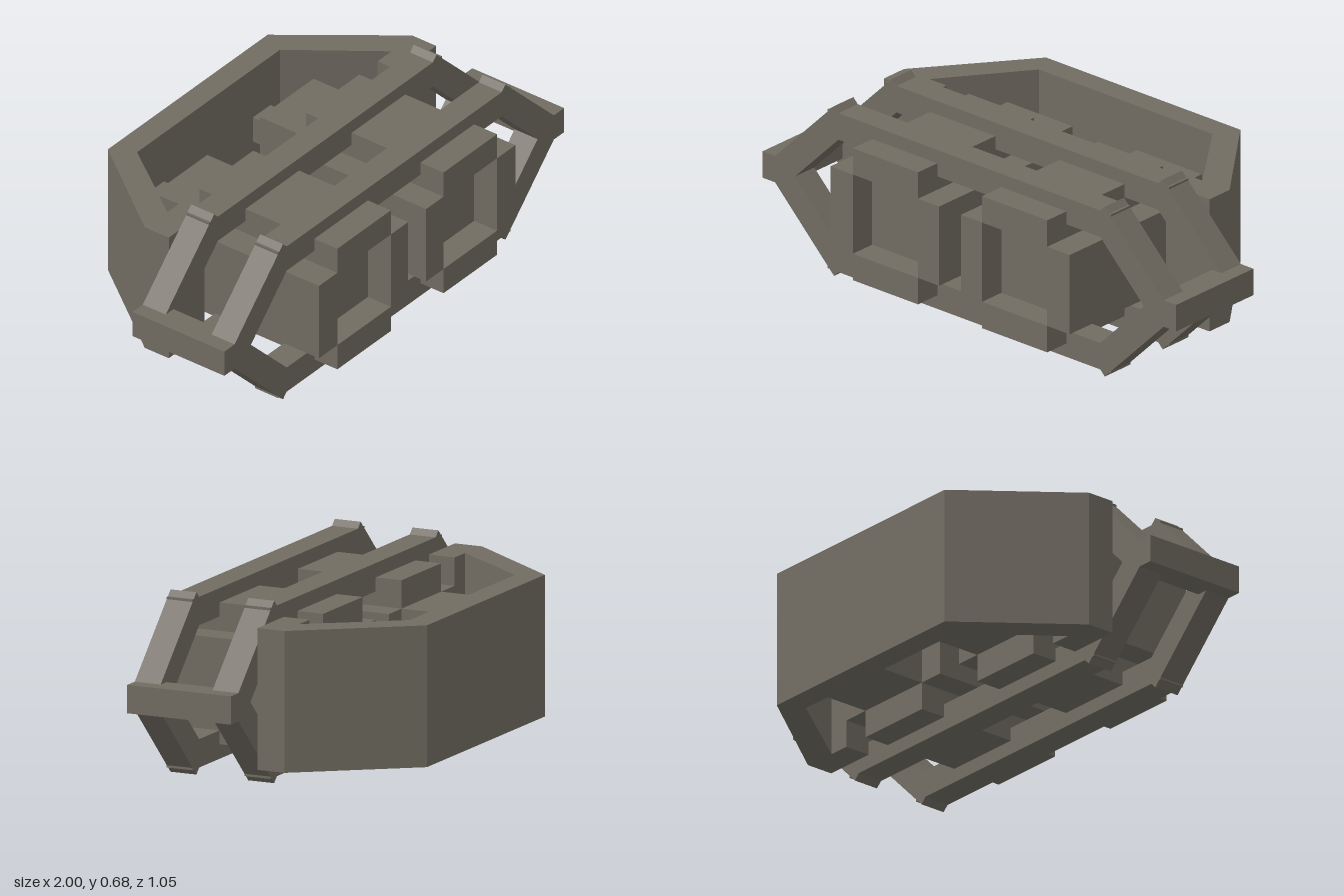
import * as THREE from 'three';

export function createModel() {
  const model = new THREE.Group();
  const metal = new THREE.MeshStandardMaterial({ color: 0x716c62 });
  metal.name = 'warm grey metal';
  const MID = 0.339; // height of the horizontal symmetry plane

  // Box given by its min and max corners
  function box(name, parent, [x0, x1], [y0, y1], [z0, z1]) {
    const mesh = new THREE.Mesh(new THREE.BoxGeometry(x1 - x0, y1 - y0, z1 - z0), metal);
    mesh.position.set((x0 + x1) / 2, (y0 + y1) / 2, (z0 + z1) / 2);
    mesh.name = name;
    parent.add(mesh);
    return mesh;
  }

  // Two hexagonal frames of straight and diagonal bars
  for (const [name, z] of [['rearFrame', 0], ['frontFrame', 0.315]]) {
    const frame = new THREE.Group();
    frame.name = name;
    const depth = [z, z + 0.105];
    box('topBar', frame, [-0.685, 0.685], [0.55, 0.655], depth);
    box('bottomBar', frame, [-0.685, 0.685], [0.023, 0.128], depth);
    for (const sx of [-1, 1]) for (const sy of [-1, 1]) {
      const bar = new THREE.Mesh(new THREE.BoxGeometry(0.42, 0.105, 0.105), metal);
      bar.name = 'diagonalBar';
      bar.position.set(sx * 0.766, MID + sy * 0.152, z + 0.0525);
      bar.rotation.z = -sx * sy * Math.PI / 4;
      frame.add(bar);
    }
    model.add(frame);
  }

  for (const s of [-1, 1]) {
    // End block joining the two frames
    const xs = (a, b) => (s > 0 ? [a, b] : [-b, -a]);
    box('endBlock', model, xs(0.895, 1), [MID - 0.0525, MID + 0.0525], [0, 0.42]);

    // Square piston core wrapped in four plates
    const piston = new THREE.Group();
    piston.name = s > 0 ? 'leftPiston' : 'rightPiston';
    const wrap = [-0.105, 0.525];
    box('core', piston, xs(0.155, 0.47), [0.182, 0.497], [-0.315, 0.42]);
    box('rod', piston, xs(0.262, 0.365), [MID - 0.0525, MID + 0.0525], [-0.43, -0.315]);
    box('innerPlate', piston, xs(0.053, 0.155), [0.182, 0.497], wrap);
    box('outerPlate', piston, xs(0.47, 0.578), [0.182, 0.497], wrap);
    box('topPlate', piston, xs(0.155, 0.47), [0.497, 0.602], wrap);
    box('bottomPlate', piston, xs(0.155, 0.47), [0.077, 0.182], wrap);
    model.add(piston);
  }

  // Trapezoid rear shell with inward feet, drawn as (x, -z) and extruded upwards
  const half = [[0.47, 0.525], [0.787, 0.11], [0.787, 0], [0.578, 0], [0.578, 0.105], [0.66, 0.105], [0.42, 0.43]];
  const outline = [...half, ...half.map(([x, y]) => [-x, y]).reverse()];
  const shape = new THREE.Shape(outline.map(([x, y]) => new THREE.Vector2(x, y)));
  const shell = new THREE.Mesh(
    new THREE.ExtrudeGeometry(shape, { depth: 0.525, bevelEnabled: false }), metal);
  shell.name = 'rearShell';
  shell.rotation.x = -Math.PI / 2;
  shell.position.y = 0.077;
  model.add(shell);

  return model;
}
